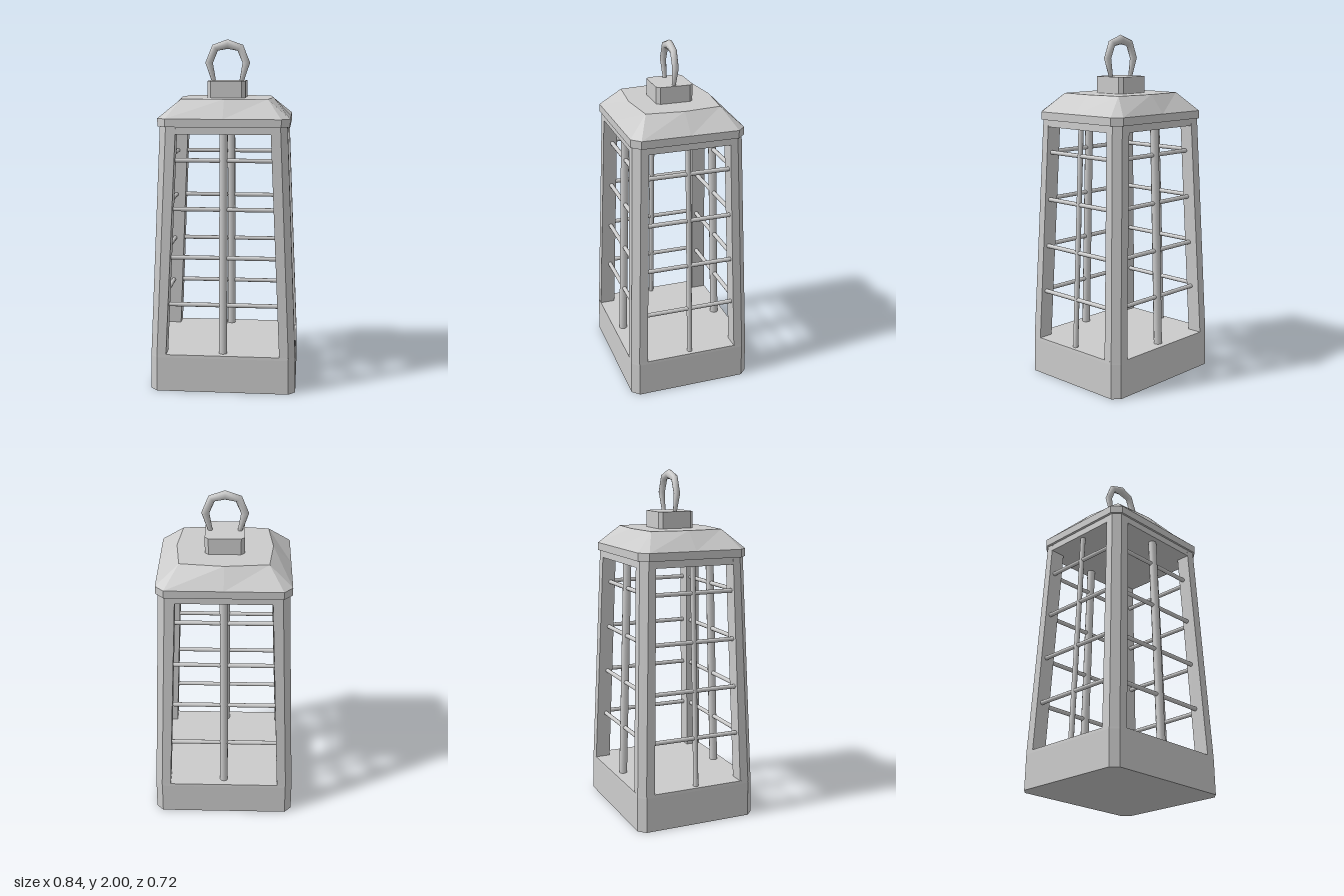
import * as THREE from 'three';

const V = (x, y, z) => new THREE.Vector3(x, y, z);
const material = new THREE.MeshStandardMaterial({ color: 0xcccccc });

// Skin a stack of equal-length loops (counter-clockwise seen from the end) and cap both ends.
function loft(name, loops, smooth = false) {
  const n = loops[0].length, pos = [], idx = [];
  const add = (p) => pos.push(p.x, p.y, p.z);
  loops.flat().forEach(add);
  for (let k = 0; k < loops.length - 1; k++)
    for (let i = 0; i < n; i++) {
      const a = k * n + i, b = k * n + (i + 1) % n;
      idx.push(a, b, b + n, a, b + n, a + n);
    }
  for (const k of [0, loops.length - 1]) {
    const c = pos.length / 3;
    add(loops[k].reduce((s, p) => s.add(p), V(0, 0, 0)).divideScalar(n));
    for (let i = 0; i < n; i++) {
      const a = k * n + i, b = k * n + (i + 1) % n;
      idx.push(c, k ? a : b, k ? b : a);
    }
  }
  let g = new THREE.BufferGeometry();
  g.setAttribute('position', new THREE.Float32BufferAttribute(pos, 3));
  g.setIndex(idx);
  if (!smooth) g = g.toNonIndexed();
  g.computeVertexNormals();
  const mesh = new THREE.Mesh(g, material);
  mesh.name = name;
  return mesh;
}

// Rectangle with cut corners; each side also has a midpoint, pushed out by "bow".
function plate(y, x, z, cut, bow = 0) {
  return [
    [x - cut, z], [x, z - cut], [x + bow, 0], [x, cut - z], [x - cut, -z], [0, -z - bow],
    [cut - x, -z], [-x, cut - z], [-x - bow, 0], [-x, z - cut], [cut - x, z], [0, z + bow],
  ].map(([px, pz]) => V(px, y, pz));
}

// Round bar between two points.
function bar(name, a, b, radius) {
  const mesh = new THREE.Mesh(new THREE.CylinderGeometry(radius, radius, a.distanceTo(b), 10), material);
  mesh.position.copy(a).add(b).multiplyScalar(0.5);
  mesh.quaternion.setFromUnitVectors(V(0, 1, 0), b.clone().sub(a).normalize());
  mesh.name = name;
  return mesh;
}

export function createModel() {
  const model = new THREE.Group();
  model.name = 'lantern';

  // Base, top rail, roof and cap
  model.add(loft('base', [plate(0, 0.418, 0.362, 0.04), plate(0.2, 0.416, 0.36, 0.04), plate(0.217, 0.415, 0.359, 0.04)]));
  model.add(loft('topRail', [plate(1.48, 0.357, 0.315, 0.038), plate(1.53, 0.355, 0.313, 0.038)]));
  model.add(loft('roof', [
    plate(1.52, 0.37, 0.325, 0.048),
    plate(1.565, 0.37, 0.325, 0.048),
    plate(1.67, 0.243, 0.214, 0, 0.024),
  ]));
  model.add(loft('cap', [plate(1.66, 0.109, 0.106, 0.02), plate(1.765, 0.109, 0.106, 0.02)]));

  // Tapered corner posts with a cut outer edge
  const posts = new THREE.Group();
  posts.name = 'cornerPosts';
  for (const sx of [-1, 1]) for (const sz of [-1, 1]) {
    const section = (y, x, z, ix, iz) => {
      const p = [[ix, z], [x - 0.038, z], [x, z - 0.038], [x, iz], [ix, iz]]
        .map(([px, pz]) => V(sx * px, y, sz * pz));
      return sx * sz > 0 ? p : p.reverse();
    };
    posts.add(loft('cornerPost', [
      section(0.21, 0.415, 0.359, 0.325, 0.27),
      section(1.525, 0.356, 0.314, 0.263, 0.233),
    ]));
  }
  model.add(posts);

  // Grilles: one leaning upright and four crossbars on each side
  const lerp = THREE.MathUtils.lerp;
  const sides = [
    { name: 'frontGrille', turn: 0, low: 0.302, high: 0.262, wideLow: 0.33, wideHigh: 0.27, radius: 0.024 },
    { name: 'leftGrille', turn: Math.PI / 2, low: 0.38, high: 0.322, wideLow: 0.275, wideHigh: 0.24, radius: 0.015 },
    { name: 'backGrille', turn: Math.PI, low: 0.302, high: 0.262, wideLow: 0.33, wideHigh: 0.27, radius: 0.024 },
    { name: 'rightGrille', turn: -Math.PI / 2, low: 0.38, high: 0.322, wideLow: 0.275, wideHigh: 0.24, radius: 0.015 },
  ];
  for (const s of sides) {
    const grille = new THREE.Group();
    grille.name = s.name;
    grille.add(bar('uprightBar', V(0, 0.21, s.low), V(0, 1.49, s.high), s.radius));
    for (const y of [0.5, 0.775, 1.053, 1.33]) {
      const t = (y - 0.217) / 1.263;
      const z = lerp(s.low, s.high, t), w = lerp(s.wideLow, s.wideHigh, t);
      grille.add(bar('crossBar', V(-w, y, z), V(w, y, z), 0.0125));
    }
    grille.rotation.y = s.turn;
    model.add(grille);
  }

  // Angular hanging loop, thicker toward the top: x, y, radius
  const path = [
    [-0.079, 1.755, 0.012], [-0.108, 1.867, 0.022], [-0.073, 1.952, 0.023], [0, 1.973, 0.027],
    [0.073, 1.952, 0.023], [0.108, 1.867, 0.022], [0.079, 1.755, 0.012],
  ];
  const rings = path.map(([x, y, r], i) => {
    const a = path[Math.max(i - 1, 0)], b = path[Math.min(i + 1, path.length - 1)];
    const t = V(b[0] - a[0], b[1] - a[1], 0).normalize();
    return Array.from({ length: 8 }, (_, k) => {
      const c = Math.cos(k * Math.PI / 4) * r, s = Math.sin(k * Math.PI / 4) * r * 0.85;
      return V(x - t.y * c, y + t.x * c, s);
    });
  });
  model.add(loft('hangingLoop', rings, true));

  return model;
}
